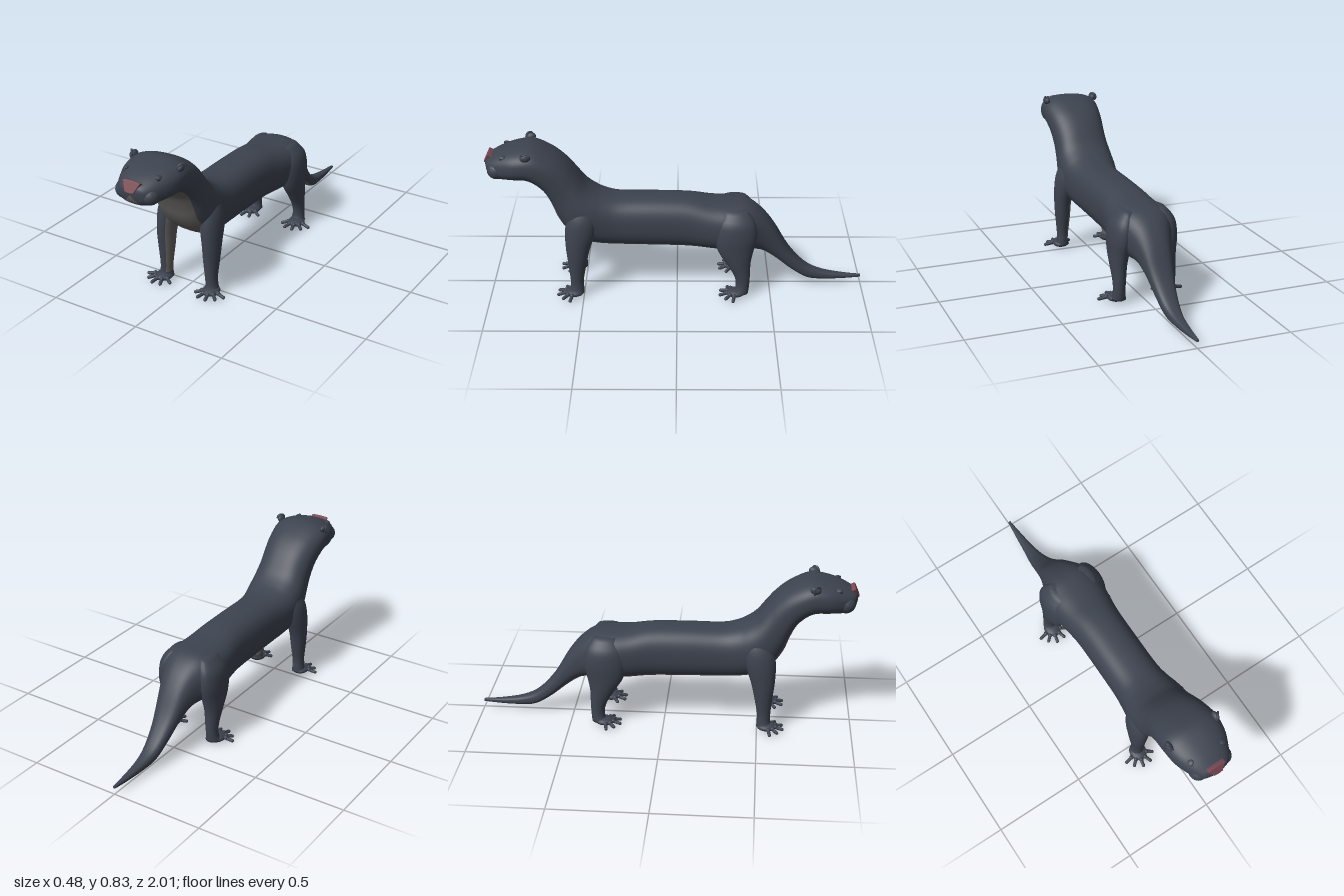
import * as THREE from 'three';

const mat = (name, color) => Object.assign(new THREE.MeshStandardMaterial({ color }), { name });

// Skin closed rings of points; cells where isPale(i, j) is true use the second material.
function loft(rings, isPale) {
  const n = rings[0].length, last = rings.length - 1;
  const points = rings.flat(), dark = [], pale = [];
  for (let i = 0; i < last; i++) {
    for (let j = 0; j < n; j++) {
      const k = (j + 1) % n;
      const a = i * n + j, b = i * n + k, c = a + n, d = b + n;
      (isPale(i, j) ? pale : dark).push(a, b, c, b, d, c);
    }
  }
  // End caps
  for (const i of [0, last]) {
    const centre = new THREE.Vector3();
    rings[i].forEach(p => centre.addScaledVector(p, 1 / n));
    const m = points.push(centre) - 1;
    for (let j = 0; j < n; j++) {
      const a = i * n + j, b = i * n + (j + 1) % n;
      (isPale(i, j) ? pale : dark).push(...(i ? [m, a, b] : [m, b, a]));
    }
  }
  const geo = new THREE.BufferGeometry().setFromPoints(points);
  geo.setIndex([...dark, ...pale]);
  geo.addGroup(0, dark.length, 0);
  geo.addGroup(dark.length, pale.length, 1);
  geo.computeVertexNormals();
  return geo;
}

const power = (v, e) => Math.sign(v) * Math.abs(v) ** e;

// Body stations from tail tip to muzzle: top z, top y, bottom z, bottom y, half width
const BODY = [
  [-1, .05, -1, .034, .007], [-.9, .058, -.9, .028, .018], [-.78, .08, -.8, .028, .03],
  [-.69, .125, -.71, .04, .044], [-.6, .225, -.62, .095, .058], [-.52, .36, -.53, .17, .078],
  [-.45, .445, -.45, .225, .105], [-.37, .497, -.37, .238, .145], [-.28, .507, -.28, .24, .16],
  [-.18, .515, -.18, .246, .15], [-.06, .535, -.06, .255, .135], [.12, .54, .12, .26, .133],
  [.3, .54, .3, .265, .135], [.38, .555, .42, .275, .147], [.43, .577, .5, .3, .158],
  [.48, .615, .58, .36, .158], [.53, .68, .63, .43, .149], [.58, .737, .66, .51, .148],
  [.65, .79, .7, .59, .153], [.75, .833, .77, .648, .159], [.84, .825, .85, .654, .15],
  [.91, .805, .91, .653, .125], [.96, .782, .955, .657, .1], [.988, .765, .982, .675, .072],
  [1, .742, .995, .7, .03],
];

function bodyGeometry() {
  const top = new THREE.CatmullRomCurve3(BODY.map(s => new THREE.Vector3(s[4], s[1], s[0])), false, 'catmullrom');
  const low = new THREE.CatmullRomCurve3(BODY.map(s => new THREE.Vector3(s[4], s[3], s[2])), false, 'catmullrom');
  const steps = (BODY.length - 1) * 4, n = 48, rings = [];
  for (let i = 0; i <= steps; i++) {
    const t = top.getPoint(i / steps), b = low.getPoint(i / steps), ring = [];
    for (let j = 0; j < n; j++) {
      const a = j / n * Math.PI * 2;
      const p = b.clone().lerp(t, .5 + .5 * power(Math.sin(a), .8));
      p.x = t.x * power(Math.cos(a), .8);
      ring.push(p);
    }
    rings.push(ring);
  }
  // Pale belly band, narrower under the chin
  return loft(rings, (i, j) => {
    const fromBottom = Math.abs((j + .5) / n * 360 - 270);
    return fromBottom < (i > 80 ? 31 : 46);
  });
}

// Leg stations from ankle up: y, x, z, radius x, radius z
const FRONT_LEG = [
  [.02, .14, .54, .04, .042], [.05, .14, .535, .032, .036], [.1, .137, .535, .033, .036],
  [.2, .137, .53, .042, .05], [.28, .137, .525, .046, .063], [.38, .13, .51, .053, .08],
  [.46, .12, .5, .05, .075], [.54, .1, .49, .03, .05],
];
const HIND_LEG = [
  [.02, .14, -.34, .04, .042], [.06, .14, -.35, .032, .036], [.12, .138, -.347, .034, .042],
  [.2, .135, -.325, .042, .066], [.27, .13, -.31, .05, .095], [.35, .125, -.31, .057, .112],
  [.43, .115, -.31, .054, .1], [.49, .09, -.31, .03, .06],
];

function legGeometry(stations, side, paleLimit) {
  const centre = new THREE.CatmullRomCurve3(stations.map(s => new THREE.Vector3(s[1] * side, s[0], s[2])), false, 'catmullrom');
  const size = new THREE.CatmullRomCurve3(stations.map(s => new THREE.Vector3(s[3], 0, s[4])), false, 'catmullrom');
  const n = 24, steps = 28, rings = [];
  for (let i = 0; i <= steps; i++) {
    const c = centre.getPoint(i / steps), r = size.getPoint(i / steps);
    rings.push(Array.from({ length: n }, (_, j) => {
      const a = j / n * Math.PI * 2;
      return new THREE.Vector3(c.x + r.x * Math.cos(a), c.y, c.z - r.z * Math.sin(a));
    }));
  }
  return loft(rings, (i, j) => i > 3 && side * Math.cos((j + .5) / n * Math.PI * 2) < paleLimit);
}

export function createModel() {
  const fur = mat('dark fur', 0x3d434f);
  const belly = mat('grey belly', 0x62605d);
  const pink = mat('nose pink', 0x7b4a53);
  const eyeDark = mat('eye dark', 0x2a2e37);
  const model = new THREE.Group();
  const add = (name, geo, material, parent = model) => {
    const mesh = new THREE.Mesh(geo, material);
    mesh.name = name;
    parent.add(mesh);
    return mesh;
  };
  const ball = (name, material, pos, scale, parent) => {
    const mesh = add(name, new THREE.SphereGeometry(1, 24, 16), material, parent);
    mesh.position.set(...pos);
    mesh.scale.set(...scale);
    return mesh;
  };

  add('body', bodyGeometry(), [fur, belly]);

  // Webless paw with five fanned toes
  const toeTips = [[.235, .57], [.208, .61], [.165, .64], [.115, .636], [.077, .598]];
  const addPaw = (name, side, dz) => {
    const paw = new THREE.Group();
    paw.name = name;
    model.add(paw);
    ball('palm', fur, [.145 * side, .022, .553 + dz], [.046, .021, .053], paw);
    for (const [x, z] of toeTips) {
      const from = new THREE.Vector3(.145 * side, .026, .553 + dz).lerp(new THREE.Vector3(x * side, .026, z + dz), .3);
      const to = new THREE.Vector3(x * side, .014, z + dz);
      const dir = to.clone().sub(from), length = dir.length();
      const toe = add('toe', new THREE.CapsuleGeometry(.009, length - .009, 4, 10), fur, paw);
      toe.position.copy(from).lerp(to, .5);
      toe.quaternion.setFromUnitVectors(new THREE.Vector3(0, 1, 0), dir.normalize());
      const knuckle = from.clone().lerp(to, .35);
      ball('knuckle', fur, [knuckle.x, knuckle.y + .003, knuckle.z], [.012, .011, .012], paw);
    }
  };

  for (const side of [1, -1]) {
    const label = side > 0 ? 'left' : 'right';
    add(label + 'FrontLeg', legGeometry(FRONT_LEG, side, -.45), [fur, belly]);
    add(label + 'HindLeg', legGeometry(HIND_LEG, side, -2), [fur, belly]);
    addPaw(label + 'FrontPaw', side, 0);
    addPaw(label + 'HindPaw', side, -.867);

    // Face details
    ball(label + 'WhiskerPad', fur, [.073 * side, .712, .935], [.046, .046, .05]);
    const ear = ball(label + 'Ear', fur, [.137 * side, .808, .775], [.016, .021, .028]);
    ear.rotation.set(.25, 0, -.3 * side);
    const rim = add(label + 'EarRim', new THREE.TorusGeometry(.02, .006, 8, 20, Math.PI * 1.3), fur);
    rim.position.set(.145 * side, .81, .782);
    rim.rotation.set(0, side * .9, 0);
    ball(label + 'Eye', eyeDark, [.096 * side, .787, .902], [.01, .01, .011]);
    const brow = ball(label + 'Brow', fur, [.095 * side, .797, .897], [.016, .006, .016]);
    brow.rotation.z = -.4 * side;
  }

  // Wide-topped nose, leaning back over the muzzle
  const shape = new THREE.Shape();
  shape.moveTo(-.045, .025);
  shape.quadraticCurveTo(0, .031, .045, .025);
  shape.quadraticCurveTo(.036, .006, .023, -.022);
  shape.quadraticCurveTo(0, -.03, -.023, -.022);
  shape.quadraticCurveTo(-.036, .006, -.045, .025);
  const nose = add('nose', new THREE.ExtrudeGeometry(shape, {
    depth: .022, bevelEnabled: true, bevelSize: .004, bevelThickness: .004, bevelSegments: 3, curveSegments: 10,
  }), pink);
  nose.position.set(0, .75, .972);
  nose.rotation.x = -.45;
  return model;
}
